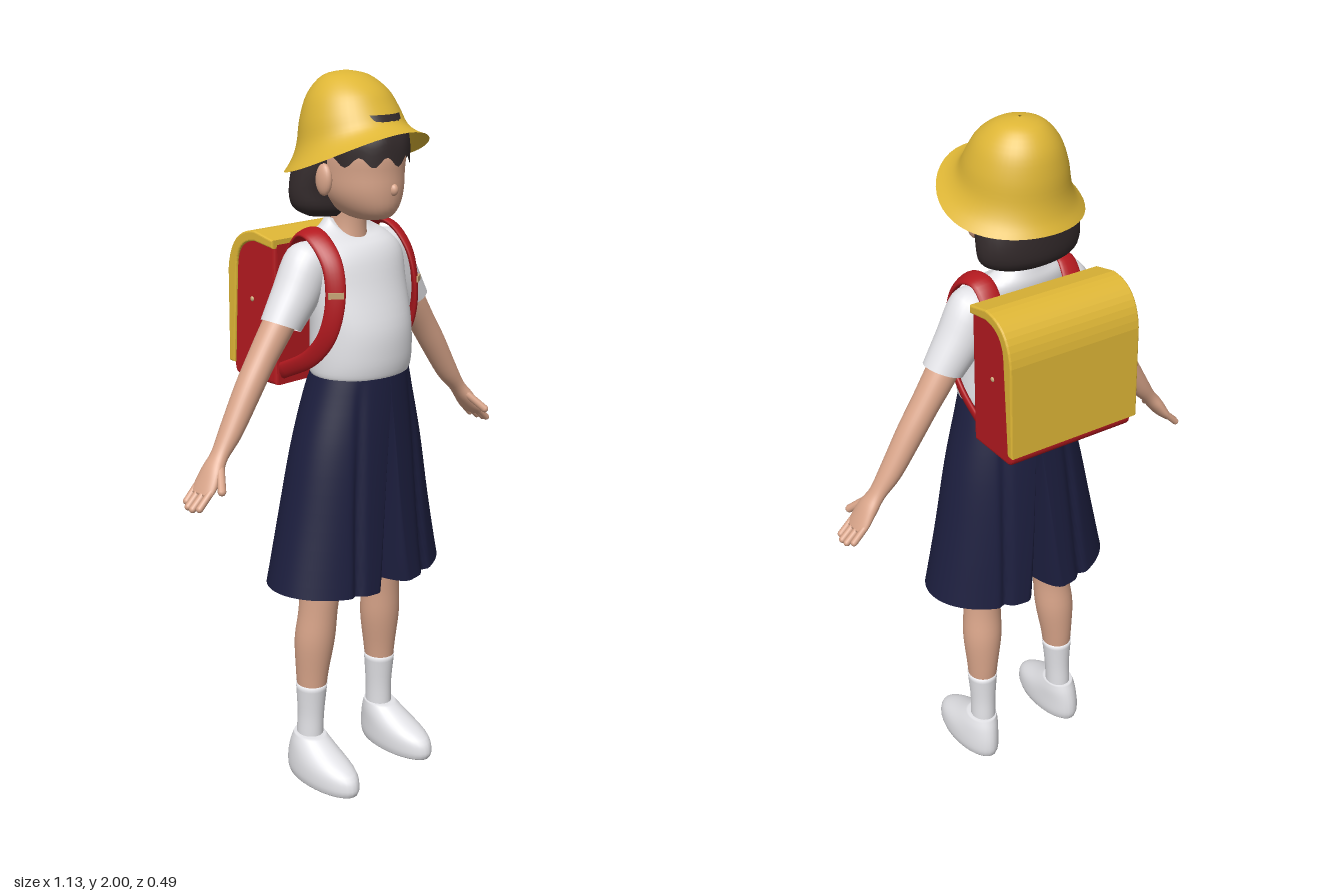
import * as THREE from 'three';

const mat = (name, color, side = THREE.DoubleSide) => {
  const m = new THREE.MeshStandardMaterial({ color, side });
  m.name = name;
  return m;
};
const MAT = {
  yellow: mat('yellow', 0xdeb636), red: mat('red', 0xb3191f), navy: mat('navy', 0x1c1e3e),
  white: mat('white', 0xe6e6ea), skin: mat('skin', 0xd9a58a), hair: mat('dark hair', 0x332a2b),
  brass: mat('brass', 0xc9a878),
};

// Smooth closed skin over rings of points
function skin(rows) {
  const n = rows[0].length, pos = [], idx = [];
  rows.forEach(r => r.forEach(p => pos.push(p.x, p.y, p.z)));
  for (let i = 0; i < rows.length - 1; i++) for (let j = 0; j < n; j++) {
    const a = i * n + j, b = i * n + (j + 1) % n, c = a + n, d = b + n;
    idx.push(a, b, c, b, d, c);
  }
  const g = new THREE.BufferGeometry();
  g.setAttribute('position', new THREE.Float32BufferAttribute(pos, 3));
  g.setIndex(idx);
  g.computeVertexNormals();
  return g;
}

function capped(rows) {
  const mid = r => {
    const c = r.reduce((s, p) => s.add(p), new THREE.Vector3()).divideScalar(r.length);
    return r.map(() => c.clone());
  };
  return [mid(rows[0]), ...rows, mid(rows[rows.length - 1])];
}

const catmull = (a, b, c, d, t) =>
  0.5 * (2 * b + (c - a) * t + (2 * a - 5 * b + 4 * c - d) * t * t + (3 * b - a - 3 * c + d) * t * t * t);

// Loft through elliptical rings [x, y, z, rx, rz, tilt], top to bottom; s mirrors, bend moves points
function loft(rings, { s = 1, seg = 32, sub = 4, open = false, bend } = {}) {
  const rows = [], last = rings.length - 1, at = i => rings[Math.min(last, Math.max(0, i))];
  for (let i = 0; i <= last * sub; i++) {
    const q = Math.min(last - 1, Math.floor(i / sub)), f = i / sub - q;
    const r = at(q).map((v, c) => catmull(at(q - 1)[c], v, at(q + 1)[c], at(q + 2)[c], f));
    const tilt = (r[5] || 0) * s, row = [];
    for (let j = 0; j < seg; j++) {
      const t = j / seg * Math.PI * 2, u = r[3] * Math.cos(t);
      const p = new THREE.Vector3(r[0] * s + u * Math.cos(tilt), r[1] + u * Math.sin(tilt), r[2] + r[4] * Math.sin(t));
      if (bend) bend(p, t, i / (last * sub), r);
      row.push(p);
    }
    rows.push(row);
  }
  return skin(open ? rows : capped(rows));
}

export function createModel() {
  const root = new THREE.Group();
  root.name = 'schoolchild';
  const add = (name, geo, m) => {
    const mesh = new THREE.Mesh(geo, m);
    mesh.name = name;
    root.add(mesh);
    return mesh;
  };
  const capsule = (name, a, b, r, m) => {
    const A = new THREE.Vector3(...a), B = new THREE.Vector3(...b), d = B.clone().sub(A);
    const mesh = add(name, new THREE.CapsuleGeometry(r, d.length(), 4, 10), m);
    mesh.position.copy(A).add(B).multiplyScalar(0.5);
    mesh.quaternion.setFromUnitVectors(new THREE.Vector3(0, 1, 0), d.normalize());
  };
  const ball = (name, p, size, m) => {
    const mesh = add(name, new THREE.SphereGeometry(1, 20, 14), m);
    mesh.position.set(...p);
    mesh.scale.set(...size);
  };

  // Hat: dome and flared brim, raised at the front and drooping at the sides
  add('hat', loft([
    [0, 2.0, 0.012, 0.004, 0.004], [0, 1.988, 0.012, 0.06, 0.06], [0, 1.95, 0.018, 0.104, 0.106],
    [0, 1.9, 0.025, 0.129, 0.13], [0, 1.85, 0.035, 0.143, 0.146], [0, 1.82, 0.045, 0.163, 0.166],
    [0, 1.8, 0.052, 0.19, 0.188],
  ], { seg: 48, open: true, bend: p => {
    const k = Math.min(1, (2 - p.y) / 0.2);
    p.y += k * (0.32 * (p.z - 0.05) - 0.03 * (p.x / 0.19) ** 2);
  } }), MAT.yellow);

  // Head
  add('head', loft([
    [0, 1.9, 0.05, 0.07, 0.08], [0, 1.82, 0.06, 0.108, 0.13], [0, 1.75, 0.062, 0.107, 0.13],
    [0, 1.7, 0.07, 0.099, 0.121], [0, 1.66, 0.083, 0.077, 0.1], [0, 1.635, 0.098, 0.048, 0.064],
    [0, 1.626, 0.1, 0.015, 0.02],
  ]), MAT.skin);
  ball('nose', [0, 1.712, 0.188], [0.012, 0.016, 0.014], MAT.skin);
  add('neck', loft([[0, 1.69, 0.03, 0.05, 0.05], [0, 1.61, 0.02, 0.048, 0.05], [0, 1.53, 0.02, 0.06, 0.055]]), MAT.skin);

  // Bobbed hair and ragged fringe
  add('bobHair', loft([
    [0, 1.88, 0.02, 0.11, 0.11], [0, 1.8, 0.0, 0.132, 0.11], [0, 1.71, -0.025, 0.149, 0.088],
    [0, 1.655, -0.025, 0.14, 0.08], [0, 1.63, -0.02, 0.1, 0.055],
  ]), MAT.hair);
  add('fringe', loft([
    [0, 1.9, 0.06, 0.1, 0.11], [0, 1.84, 0.062, 0.12, 0.138], [0, 1.785, 0.062, 0.12, 0.143],
  ], { seg: 72, open: true, bend: (p, t, k) => { p.y += 0.013 * k * k * Math.sin(t * 11); } }), MAT.hair);

  // Shirt with a dipped neckline
  add('shirt', loft([
    [0, 1.625, 0.012, 0.058, 0.05], [0, 1.602, 0.014, 0.083, 0.06], [0, 1.575, 0.02, 0.13, 0.072],
    [0, 1.53, 0.04, 0.16, 0.088], [0, 1.45, 0.055, 0.155, 0.102], [0, 1.35, 0.07, 0.15, 0.12],
    [0, 1.27, 0.072, 0.151, 0.123], [0, 1.222, 0.068, 0.149, 0.121], [0, 1.208, 0.068, 0.138, 0.112],
  ], { seg: 48, bend: (p, t, k) => {
    p.y -= 0.05 * Math.max(0, Math.sin(t)) * Math.max(0, 1 - k / 0.3);
  } }), MAT.white);

  // Backpack: profile in depth and height, extruded across the back
  const across = (shape, width, bevel) => new THREE.ExtrudeGeometry(shape, {
    depth: width - 2 * bevel, bevelSize: bevel, bevelThickness: bevel, bevelSegments: 3, curveSegments: 10,
  }).translate(0, 0, -width / 2 + bevel).rotateY(Math.PI / 2);
  const body = new THREE.Shape();
  body.moveTo(0.067, 1.185).lineTo(0.21, 1.185).quadraticCurveTo(0.222, 1.185, 0.222, 1.2);
  body.lineTo(0.21, 1.48).quadraticCurveTo(0.205, 1.555, 0.13, 1.56).lineTo(0.067, 1.55);
  add('backpackBody', across(body, 0.385, 0.01), MAT.red);
  const flap = new THREE.Shape();
  flap.moveTo(0.062, 1.555).lineTo(0.13, 1.565).quadraticCurveTo(0.208, 1.56, 0.212, 1.48).lineTo(0.229, 1.215);
  flap.lineTo(0.24, 1.215).lineTo(0.237, 1.47).quadraticCurveTo(0.225, 1.58, 0.13, 1.583).lineTo(0.062, 1.568);
  add('backpackFlap', across(flap, 0.4, 0.005), MAT.yellow);

  for (const s of [1, -1]) {
    const side = s > 0 ? 'left' : 'right';
    ball(side + 'Ear', [0.114 * s, 1.735, 0.05], [0.016, 0.042, 0.027], MAT.skin);

    // Sleeve, arm and hand
    add(side + 'Sleeve', loft([
      [0.09, 1.535, 0.02, 0.05, 0.055, 0.9], [0.14, 1.515, 0.018, 0.068, 0.064, 0.75],
      [0.185, 1.44, 0.017, 0.065, 0.062, 0.5], [0.238, 1.365, 0.017, 0.056, 0.054, 0.42],
    ], { s, open: true }), MAT.white);
    add(side + 'Arm', loft([
      [0.18, 1.46, 0.015, 0.04, 0.04], [0.24, 1.37, 0.012, 0.043, 0.043], [0.3, 1.285, 0.01, 0.038, 0.04],
      [0.35, 1.21, 0.011, 0.036, 0.038], [0.41, 1.115, 0.013, 0.03, 0.033], [0.452, 1.06, 0.016, 0.021, 0.027],
      [0.48, 1.025, 0.02, 0.021, 0.036], [0.505, 0.99, 0.021, 0.017, 0.041], [0.523, 0.968, 0.021, 0.011, 0.038],
    ].map(r => [...r, 0.65]), { s }), MAT.skin);
    [[-0.01, 0.544, 0.95], [0.01, 0.555, 0.943], [0.031, 0.557, 0.942], [0.051, 0.55, 0.946]].forEach(([z, x, y]) =>
      capsule(side + 'Finger', [0.51 * s, 0.984, z], [x * s, y, z], 0.0095, MAT.skin));
    capsule(side + 'Thumb', [0.47 * s, 1.035, 0.04], [0.503 * s, 0.99, 0.085], 0.011, MAT.skin);

    // Culotte half: flat on the inside, flared, with a pleat front and back
    add(side + 'CulotteLeg', loft([
      [0, 1.225, 0.068, 0.144, 0.117], [0, 1.15, 0.06, 0.165, 0.13], [0, 1.0, 0.053, 0.205, 0.142],
      [0, 0.8, 0.047, 0.245, 0.154], [0, 0.61, 0.045, 0.285, 0.165],
    ], { seg: 128, open: true, bend: (p, t, k, r) => {
      const c = Math.cos(t) * s, gap = 0.008 * k, w = 0.55 * Math.max(0, k - 0.25);
      const flat = gap + Math.max(0, c) * (r[3] - gap), round = (r[3] + gap) / 2 + (r[3] - gap) / 2 * c;
      const x = flat * (1 - w) + round * w;
      const pleat = c > -0.2 ? 0.1 * Math.min(1, k * 1.6) * Math.exp(-(((x - 0.08 - 0.05 * k) / 0.012) ** 2)) : 0;
      p.x = x * s;
      p.z = r[2] + (p.z - r[2]) * (1 - pleat);
      p.y += 0.015 * k * Math.max(0, c);
    } }), MAT.navy);

    // Leg, sock and shoe
    add(side + 'Leg', loft([
      [0.11, 0.95, 0.035, 0.075, 0.08], [0.115, 0.7, 0.033, 0.064, 0.068], [0.118, 0.6, 0.033, 0.056, 0.063],
      [0.124, 0.52, 0.03, 0.054, 0.057], [0.13, 0.43, 0.022, 0.057, 0.058], [0.135, 0.33, 0.016, 0.046, 0.049],
      [0.137, 0.27, 0.015, 0.04, 0.043],
    ], { s }), MAT.skin);
    add(side + 'Sock', loft([
      [0.137, 0.29, 0.015, 0.0445, 0.047], [0.138, 0.2, 0.012, 0.037, 0.041],
      [0.14, 0.13, 0.01, 0.036, 0.041], [0.14, 0.07, 0.01, 0.036, 0.04],
    ], { s }), MAT.white);
    add(side + 'Shoe', loft([
      [0.143, 0.13, 0.012, 0.042, 0.05], [0.146, 0.1, 0.033, 0.052, 0.083], [0.149, 0.06, 0.069, 0.06, 0.128],
      [0.15, 0.022, 0.077, 0.061, 0.138], [0.15, 0, 0.077, 0.056, 0.131],
    ], { s, bend: p => { p.y = Math.max(0, p.y); } }), MAT.white);

    // Shoulder strap: a flat band turning from shoulder to underarm
    const path = new THREE.CatmullRomCurve3([
      [0.125, 1.53, -0.062], [0.13, 1.592, -0.01], [0.138, 1.59, 0.045], [0.142, 1.53, 0.108],
      [0.147, 1.44, 0.128], [0.157, 1.34, 0.108], [0.165, 1.27, 0.05], [0.172, 1.21, -0.065],
    ].map(([x, y, z]) => new THREE.Vector3(x * s, y, z)));
    const rows = [];
    for (let i = 0; i <= 40; i++) {
      const k = i / 40, c = path.getPoint(k), T = path.getTangent(k), a = Math.min(1.2, k * 1.4);
      const W = new THREE.Vector3(s * Math.cos(a), -T.z * Math.sin(a), T.y * Math.sin(a)).normalize();
      const N = T.clone().cross(W).normalize(), half = 0.031 - 0.008 * k;
      rows.push(Array.from({ length: 16 }, (_, j) => {
        const t = j / 16 * Math.PI * 2;
        return c.clone().addScaledVector(W, half * Math.cos(t)).addScaledVector(N, 0.009 * Math.sin(t));
      }));
    }
    add(side + 'Strap', skin(capped(rows)), MAT.red);

    // Small metal fittings
    const buckle = add(side + 'Buckle', new THREE.BoxGeometry(0.04, 0.016, 0.008), MAT.brass);
    buckle.position.set(0.152 * s, 1.45, 0.135);
    buckle.rotation.y = 0.6 * s;
    ball(side + 'PackRivet', [0.193 * s, 1.4, -0.15], [0.004, 0.007, 0.007], MAT.brass);
  }
  return root;
}
